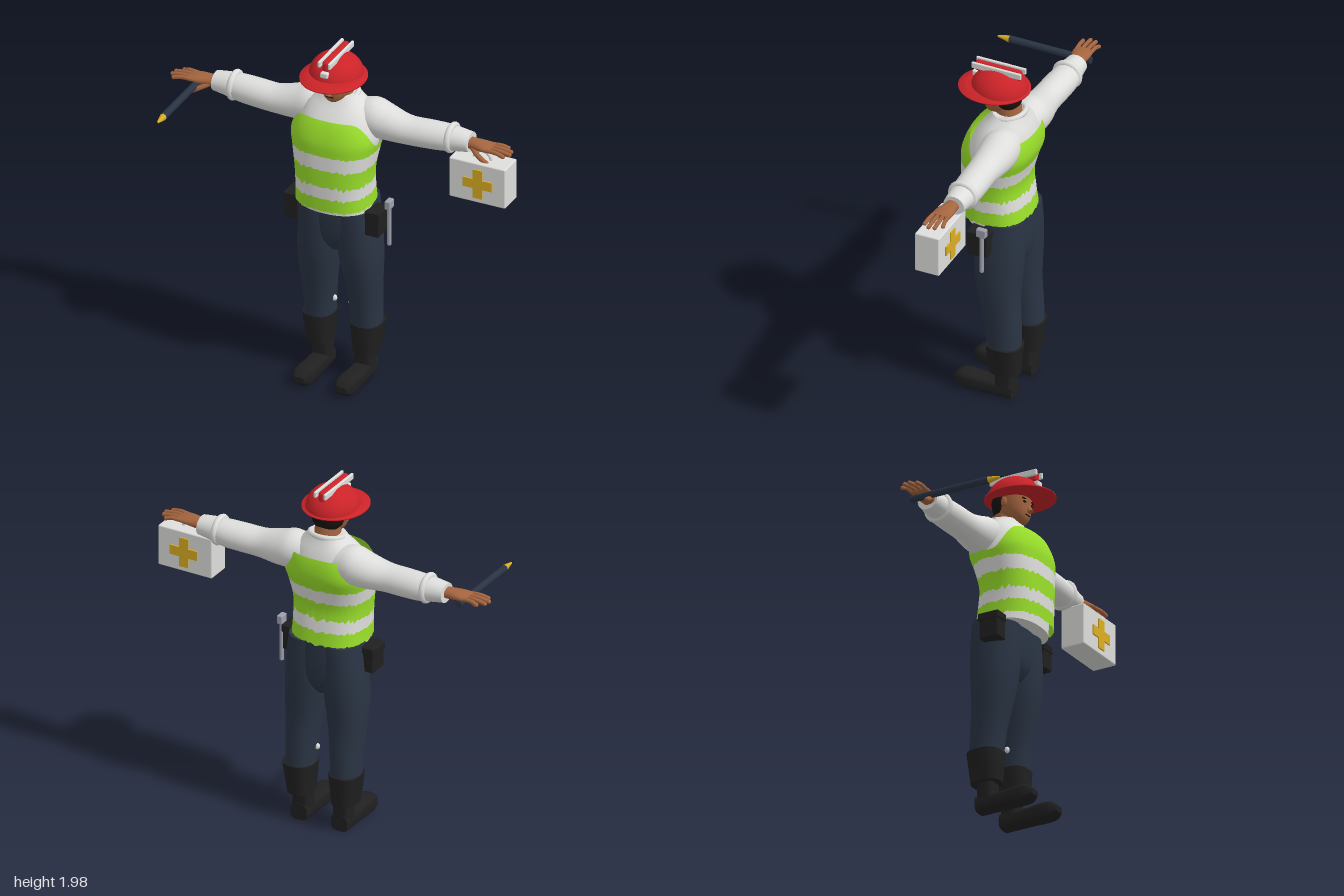
import * as THREE from 'three';
import { RoundedBoxGeometry } from 'three/addons/geometries/RoundedBoxGeometry.js';

const mat = (name, color, side = THREE.FrontSide) => {
  const m = new THREE.MeshStandardMaterial({ color, side });
  m.name = name;
  return m;
};

// Smooth interpolation through cross-sections [t, centreA, centreB, radiusA, radiusB]
function profile(sections) {
  const spline = new THREE.CubicInterpolant(sections.map(s => s[0]), sections.flatMap(s => s.slice(1)), 4);
  return t => Array.from(spline.evaluate(t));
}

// Skin of superellipse rings along an axis (0 x, 1 y, 2 z). A is axis+2, B is axis+1.
// lo and hi are numbers or functions of the angle, so edges can be ragged.
function loft(axis, sections, { lo = sections[0][0], hi = sections.at(-1)[0], n = 28, rows = 14, e = 2, caps = true } = {}) {
  const at = profile(sections), pos = [], idx = [];
  const val = (f, a, j) => (typeof f === 'function' ? f(a, j) : f);
  const pw = v => Math.sign(v) * Math.abs(v) ** (2 / e);
  const put = (t, a, b) => {
    const p = [];
    p[axis] = t; p[(axis + 2) % 3] = a; p[(axis + 1) % 3] = b;
    pos.push(...p);
    return pos.length / 3 - 1;
  };
  const ring = k => {
    const start = pos.length / 3;
    for (let j = 0; j < n; j++) {
      const a = (j / n) * Math.PI * 2;
      const t = THREE.MathUtils.lerp(val(lo, a, j), val(hi, a, j), k);
      const [ca, cb, ra, rb] = at(t);
      put(t, ca + ra * pw(Math.cos(a)), cb + rb * pw(Math.sin(a)));
    }
    return start;
  };
  for (let i = 0; i <= rows; i++) {
    const s = ring(i / rows);
    if (i) for (let j = 0; j < n; j++) {
      const q = (j + 1) % n, p = s - n;
      idx.push(p + j, s + j, p + q, p + q, s + j, s + q);
    }
  }
  if (caps) for (const k of [0, 1]) {
    const s = ring(k), t = k ? hi : lo, [ca, cb] = at(t), c = put(t, ca, cb);
    for (let j = 0; j < n; j++) {
      const q = (j + 1) % n;
      idx.push(c, s + (k ? q : j), s + (k ? j : q));
    }
  }
  const g = new THREE.BufferGeometry();
  g.setAttribute('position', new THREE.Float32BufferAttribute(pos, 3));
  g.setIndex(idx);
  g.computeVertexNormals();
  return g;
}

// Copy reflected in x, with corner order reversed so faces still point outward
function mirrored(geo) {
  const g = geo.clone().applyMatrix4(new THREE.Matrix4().makeScale(-1, 1, 1));
  const ix = g.index ? Array.from(g.index.array) : [...Array(g.attributes.position.count).keys()];
  for (let i = 0; i < ix.length; i += 3) [ix[i + 1], ix[i + 2]] = [ix[i + 2], ix[i + 1]];
  g.setIndex(ix);
  return g;
}

const box = (w, h, d, x, y, z) => new THREE.BoxGeometry(w, h, d).translate(x, y, z);
const rbox = (w, h, d, r, x, y, z) => new RoundedBoxGeometry(w, h, d, 2, r).translate(x, y, z);
const ball = (rx, ry, rz, x, y, z) => new THREE.SphereGeometry(1, 20, 14).scale(rx, ry, rz).translate(x, y, z);
const tube = (pts, r) => new THREE.TubeGeometry(
  new THREE.CatmullRomCurve3(pts.map(p => new THREE.Vector3(...p))), 10, r, 8);

export function createModel() {
  const red = mat('helmet red', 0xcb2328), white = mat('fabric white', 0xdededc, THREE.DoubleSide);
  const lime = mat('safety lime', 0x9ae02b, THREE.DoubleSide), skin = mat('skin', 0xa5653f);
  const navy = mat('trouser navy', 0x2a3444), black = mat('boot black', 0x202020);
  const yellow = mat('yellow', 0xdcae22), steel = mat('steel', 0x9c9faa), hair = mat('hair', 0x17130f);

  const model = new THREE.Group();
  model.name = 'worker';
  const add = (name, geo, m) => {
    const mesh = new THREE.Mesh(geo, m);
    mesh.name = name;
    model.add(mesh);
  };
  const pair = (name, geo, m) => {
    add(name + 'Left', geo, m);
    add(name + 'Right', mirrored(geo), m);
  };

  // Trousers
  add('hips', loft(1, [[0.79, 0, -0.165, 0.05, 0.085], [0.85, 0, -0.165, 0.15, 0.12],
    [0.95, 0, -0.165, 0.212, 0.134], [1.1, 0, -0.165, 0.21, 0.132]]), navy);
  pair('leg', loft(1, [[0.3, 0.138, -0.205, 0.08, 0.092], [0.45, 0.135, -0.195, 0.086, 0.098],
    [0.6, 0.13, -0.175, 0.1, 0.11], [0.75, 0.122, -0.165, 0.115, 0.128], [0.88, 0.113, -0.165, 0.118, 0.136],
    [1.0, 0.107, -0.165, 0.115, 0.136], [1.1, 0.1, -0.165, 0.11, 0.132]], { e: 2.2 }), navy);
  pair('kneeTab', ball(0.016, 0.018, 0.014, 0.05, 0.43, -0.19), white);

  // Boots
  pair('bootShaft', loft(1, [[0.16, 0.135, -0.205, 0.067, 0.085], [0.25, 0.138, -0.205, 0.077, 0.093],
    [0.335, 0.14, -0.208, 0.088, 0.098]], { e: 2.6, rows: 6 }), black);
  pair('bootAnkle', loft(1, [[0.03, 0.124, -0.205, 0.05, 0.05], [0.2, 0.124, -0.205, 0.05, 0.05]], { e: 4, rows: 3 }), black);
  pair('bootFoot', loft(2, [[-0.257, 0.048, 0.124, 0.046, 0.05], [-0.1, 0.047, 0.124, 0.044, 0.052],
    [0.02, 0.05, 0.124, 0.048, 0.054], [0.06, 0.05, 0.124, 0.041, 0.048], [0.084, 0.05, 0.124, 0.017, 0.03]], { e: 3.5 }), black);

  // Shirt
  add('shirt', loft(1, [[1.07, 0, -0.125, 0.207, 0.168], [1.3, 0, -0.105, 0.198, 0.158], [1.5, 0, -0.14, 0.222, 0.175],
    [1.58, 0, -0.15, 0.2, 0.158], [1.65, 0, -0.165, 0.165, 0.122], [1.685, 0, -0.17, 0.125, 0.1],
    [1.715, 0, -0.172, 0.1, 0.088]], { e: 2.3, n: 40, rows: 24 }), white);
  add('collar', new THREE.TorusGeometry(0.092, 0.016, 8, 28).rotateX(Math.PI / 2 + 0.15)
    .scale(1, 1, 0.88).translate(0, 1.705, -0.172), white);
  pair('sleeve', loft(0, [[0.1, -0.2, 1.58, 0.09, 0.09], [0.19, -0.2, 1.58, 0.106, 0.108], [0.26, -0.198, 1.568, 0.1, 0.098],
    [0.38, -0.19, 1.555, 0.085, 0.079], [0.5, -0.195, 1.557, 0.084, 0.077], [0.6, -0.2, 1.56, 0.08, 0.074],
    [0.68, -0.2, 1.565, 0.068, 0.064], [0.75, -0.2, 1.566, 0.06, 0.054]], { rows: 24 }), white);
  pair('sleeveFold', new THREE.TorusGeometry(0.068, 0.018, 10, 28).rotateY(Math.PI / 2).translate(0.637, 1.566, -0.2), white);

  // Vest in five bands with ragged reflective stripes
  const vest = [[1.08, 0, -0.115, 0.21, 0.185], [1.2, 0, -0.105, 0.207, 0.178], [1.3, 0, -0.1, 0.212, 0.173],
    [1.42, 0, -0.115, 0.231, 0.185], [1.5, 0, -0.13, 0.243, 0.196], [1.6, 0, -0.145, 0.212, 0.175], [1.63, 0, -0.15, 0.19, 0.16]];
  const ragged = (y, amp) => (a, j) => y + amp * (((j * 5) % 8) / 4 - 1) * (0.6 + 0.4 * Math.sin(a * 7));
  const edges = [ragged(1.1, 0.009), ragged(1.175, 0.012), ragged(1.245, 0.02), ragged(1.345, 0.014), ragged(1.425, 0.008),
    a => 1.615 - 0.15 * Math.abs(Math.cos(a)) ** 8];
  for (let i = 0; i < 5; i++) {
    add(i % 2 ? 'vestStripe' : 'vestPanel',
      loft(1, vest, { lo: edges[i], hi: edges[i + 1], n: 96, rows: i === 4 ? 12 : 4, e: 2.6, caps: false }), i % 2 ? white : lime);
  }

  // Hands
  pair('palm', loft(0, [[0.72, -0.195, 1.566, 0.036, 0.03], [0.78, -0.19, 1.567, 0.042, 0.03],
    [0.84, -0.185, 1.57, 0.054, 0.022], [0.885, -0.184, 1.57, 0.052, 0.013]], { n: 16, rows: 8 }), skin);
  for (let f = 0; f < 4; f++) {
    const z = -0.143 - f * 0.027, len = [0.965, 0.988, 0.982, 0.95][f], spread = (f - 1.5) * 0.003;
    pair('finger', tube([[0.86, 1.57, z], [0.92, 1.572, z - spread], [len, 1.563, z - 2 * spread]], 0.0115), skin);
    pair('fingertip', ball(0.012, 0.0115, 0.0115, len, 1.563, z - 2 * spread), skin);
  }
  pair('thumb', tube([[0.77, 1.555, -0.165], [0.82, 1.532, -0.135], [0.88, 1.498, -0.125]], 0.014), skin);
  pair('thumbTip', ball(0.015, 0.014, 0.014, 0.88, 1.498, -0.125), skin);

  // Head
  add('neck', loft(1, [[1.62, 0, -0.175, 0.08, 0.078], [1.69, 0, -0.168, 0.072, 0.073], [1.78, 0, -0.155, 0.07, 0.07]], { rows: 5 }), skin);
  add('face', loft(1, [[1.695, 0, -0.085, 0.025, 0.03], [1.71, 0, -0.095, 0.047, 0.055], [1.74, 0, -0.11, 0.071, 0.079],
    [1.78, 0, -0.123, 0.085, 0.096], [1.83, 0, -0.125, 0.09, 0.1], [1.88, 0, -0.125, 0.09, 0.1]], { e: 2.2, rows: 18 }), skin);
  add('hair', loft(1, [[1.752, 0, -0.17, 0.066, 0.054], [1.78, 0, -0.165, 0.089, 0.068], [1.87, 0, -0.165, 0.094, 0.07]],
    { rows: 6 }), hair);
  add('nose', new THREE.ConeGeometry(0.017, 0.055, 10).rotateX(-0.3).translate(0, 1.778, -0.026), skin);
  add('mouth', rbox(0.044, 0.008, 0.01, 0.003, 0, 1.735, -0.036), hair);
  pair('ear', ball(0.011, 0.027, 0.018, 0.092, 1.8, -0.125), skin);
  pair('eye', ball(0.014, 0.006, 0.006, 0.034, 1.802, -0.032), hair);
  pair('brow', rbox(0.036, 0.007, 0.012, 0.003, 0.036, 1.82, -0.034), hair);

  // Helmet
  add('helmetCrown', new THREE.SphereGeometry(1, 36, 16, 0, Math.PI * 2, 0, Math.PI / 2)
    .scale(0.146, 0.127, 0.155).translate(0, 1.838, -0.11), red);
  const brim = [[0, 0], [0.94, 0], [1, 0.002], [1, 0.008], [0.88, 0.014], [0.74, 0.028], [0, 0.028]].map(p => new THREE.Vector2(...p));
  add('helmetBrim', new THREE.LatheGeometry(brim, 40).scale(0.178, 1, 0.196).translate(0, 1.834, -0.08), red);
  add('helmetRidge', rbox(0.036, 0.06, 0.27, 0.015, 0, 1.946, -0.105), red);
  pair('helmetRail', rbox(0.016, 0.036, 0.29, 0.006, 0.03, 1.959, -0.105), white);
  add('headLamp', rbox(0.044, 0.032, 0.03, 0.008, 0, 1.9, 0.028), white);

  // Belt pouches and hammer
  pair('pouch', rbox(0.082, 0.135, 0.115, 0.008, 0.236, 1.005, -0.11), black);
  pair('pouchFlap', rbox(0.09, 0.045, 0.125, 0.008, 0.238, 1.062, -0.11), black);
  add('hammerHandle', new THREE.CylinderGeometry(0.011, 0.011, 0.25, 12).translate(0.294, 0.985, -0.145), steel);
  add('hammerHead', rbox(0.032, 0.05, 0.055, 0.006, 0.294, 1.105, -0.145), steel);

  // First aid case
  add('caseBody', rbox(0.33, 0.235, 0.142, 0.008, 0.835, 1.393, -0.162), white);
  add('caseHandle', new THREE.TorusGeometry(0.05, 0.01, 8, 16, Math.PI).translate(0.835, 1.505, -0.162), white);
  for (const z of [-0.088, -0.236]) {
    add('crossBar', box(0.17, 0.055, 0.009, 0.84, 1.39, z), yellow);
    add('crossPost', box(0.055, 0.17, 0.0092, 0.84, 1.39, z), yellow);
  }

  // Oversized pencil
  add('pencilBody', new THREE.CylinderGeometry(0.02, 0.02, 0.475, 8).rotateX(Math.PI / 2).translate(-0.845, 1.54, -0.0025), navy);
  add('pencilPoint', new THREE.CylinderGeometry(0.005, 0.02, 0.07, 8).rotateX(Math.PI / 2).translate(-0.845, 1.54, 0.27), yellow);
  add('pencilLead', new THREE.ConeGeometry(0.005, 0.022, 8).rotateX(Math.PI / 2).translate(-0.845, 1.54, 0.316), hair);
  return model;
}
